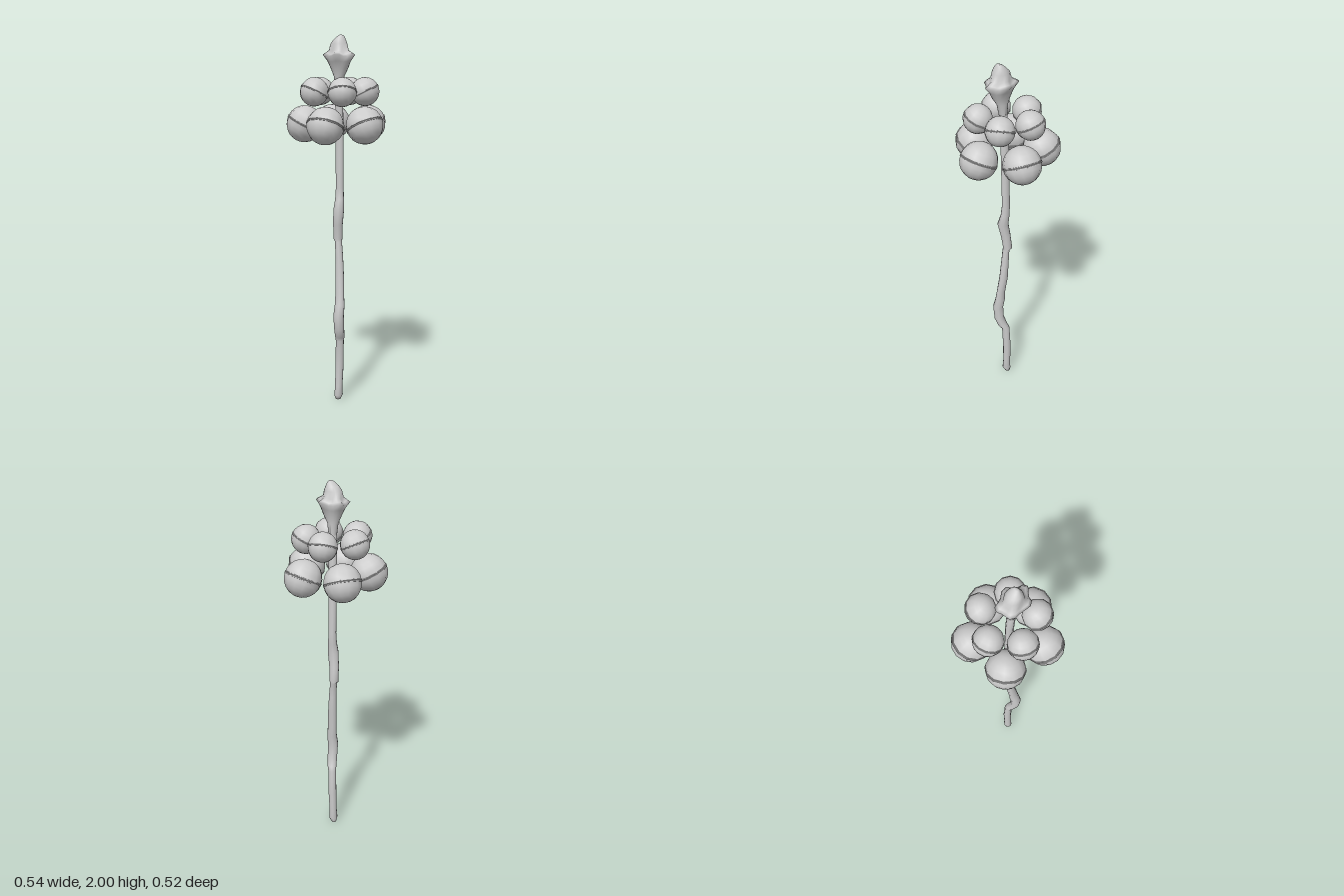
import * as THREE from 'three';
import { toCreasedNormals } from 'three/addons/utils/BufferGeometryUtils.js';

const material = new THREE.MeshStandardMaterial({ color: 0xcccccc });

// Closed skin over rings [y, centreX, centreZ, radiusX, radiusZ, raggedness]
function loft(rings, sides) {
  const pos = [], index = [];
  for (const [y, cx, cz, rx, rz, rag = 0] of rings) {
    for (let i = 0; i < sides; i++) {
      const a = (i / sides) * Math.PI * 2;
      const wave = Math.sin(a * 5 + 0.6);
      const k = 1 + rag * wave;
      pos.push(cx + Math.cos(a) * rx * k, y + rag * wave * 0.05, cz + Math.sin(a) * rz * k);
    }
  }
  for (let r = 0; r < rings.length - 1; r++) {
    for (let i = 0; i < sides; i++) {
      const a = r * sides + i, b = r * sides + (i + 1) % sides;
      index.push(a, a + sides, b, b, a + sides, b + sides);
    }
  }
  // End caps
  const last = (rings.length - 1) * sides;
  for (let i = 1; i < sides - 1; i++) {
    index.push(0, i, i + 1, last, last + i + 1, last + i);
  }
  const geo = new THREE.BufferGeometry();
  geo.setAttribute('position', new THREE.Float32BufferAttribute(pos, 3));
  geo.setIndex(index);
  geo.computeVertexNormals();
  return geo;
}

// Unit bell: two shells meeting in a thin grooved rim
function bellGeometry() {
  const half = [[1, 0.02], [1, 0.06], [0.97, 0.065]];
  for (let i = 1; i <= 6; i++) {
    const t = (i / 6) * Math.PI / 2;
    half.push([i === 6 ? 0 : Math.cos(t) * 0.98, Math.sin(t) * 0.98]);
  }
  const profile = [
    ...half.slice().reverse().map(([r, y]) => new THREE.Vector2(r, -y)),
    new THREE.Vector2(0.975, 0),
    ...half.map(([r, y]) => new THREE.Vector2(r, y)),
  ];
  return toCreasedNormals(new THREE.LatheGeometry(profile, 12), 0.65);
}

export function createModel() {
  const model = new THREE.Group();
  const add = (name, geo) => {
    const mesh = new THREE.Mesh(geo, material);
    mesh.name = name;
    model.add(mesh);
    return mesh;
  };

  // Crooked branch handle
  add('handle', loft([
    [0.0, 0.0, -0.025, 0.014, 0.014],
    [0.025, -0.002, -0.02, 0.025, 0.023],
    [0.08, 0.0, -0.02, 0.021, 0.021],
    [0.2, 0.004, -0.018, 0.023, 0.023],
    [0.345, 0.0, -0.012, 0.022, 0.023],
    [0.37, -0.012, 0.0, 0.025, 0.028],
    [0.42, -0.03, 0.012, 0.027, 0.029],
    [0.5, -0.037, 0.014, 0.029, 0.03],
    [0.56, -0.024, 0.01, 0.026, 0.029],
    [0.62, -0.02, 0.006, 0.021, 0.027],
    [0.72, -0.01, -0.004, 0.023, 0.025],
    [0.82, -0.006, -0.01, 0.021, 0.021],
    [0.905, -0.005, -0.017, 0.02, 0.018],
    [0.92, 0.0, -0.025, 0.024, 0.026],
    [1.0, -0.008, -0.018, 0.025, 0.028],
    [1.08, -0.016, -0.005, 0.028, 0.031],
    [1.14, -0.004, -0.01, 0.023, 0.025],
    [1.2, 0.0, -0.012, 0.02, 0.023],
    [1.45, -0.004, -0.01, 0.02, 0.024],
    [1.62, -0.008, -0.008, 0.02, 0.023],
    [1.8, -0.016, -0.002, 0.022, 0.022],
  ], 10));

  // Flared, ragged knob on top
  add('knob', loft([
    [1.72, -0.012, -0.004, 0.019, 0.021],
    [1.79, -0.016, -0.001, 0.026, 0.03],
    [1.83, -0.018, 0.003, 0.037, 0.052],
    [1.865, -0.019, 0.004, 0.05, 0.068, 0.05],
    [1.895, -0.02, 0.005, 0.068, 0.088, 0.13],
    [1.905, -0.02, 0.005, 0.058, 0.072, 0.13],
    [1.92, -0.021, 0.004, 0.047, 0.055, 0.05],
    [1.955, -0.022, 0.003, 0.042, 0.046],
    [1.975, -0.022, 0.008, 0.034, 0.032],
    [1.992, -0.02, 0.014, 0.022, 0.018],
    [2.0, -0.02, 0.018, 0.012, 0.008],
  ], 20));

  // Two tiers of bells, each leaning in towards the handle
  const bell = bellGeometry();
  const tiers = [
    ['lowerBell', 1.54, 0.1, [[0, 0.165], [0.173, 0.032], [0.1, -0.165], [-0.115, -0.16], [-0.175, 0.053]]],
    ['upperBell', 1.71, 0.077, [[0.08, 0.095], [0.128, -0.06], [-0.005, -0.155], [-0.138, -0.063], [-0.092, 0.093]]],
  ];
  for (const [name, y, radius, spots] of tiers) {
    spots.forEach(([x, z], i) => {
      const mesh = add(name + (i + 1), bell);
      mesh.position.set(x, y, z);
      mesh.scale.setScalar(radius);
      mesh.rotation.set(-0.47, Math.atan2(x, z), 0, 'YXZ');
    });
  }
  return model;
}
